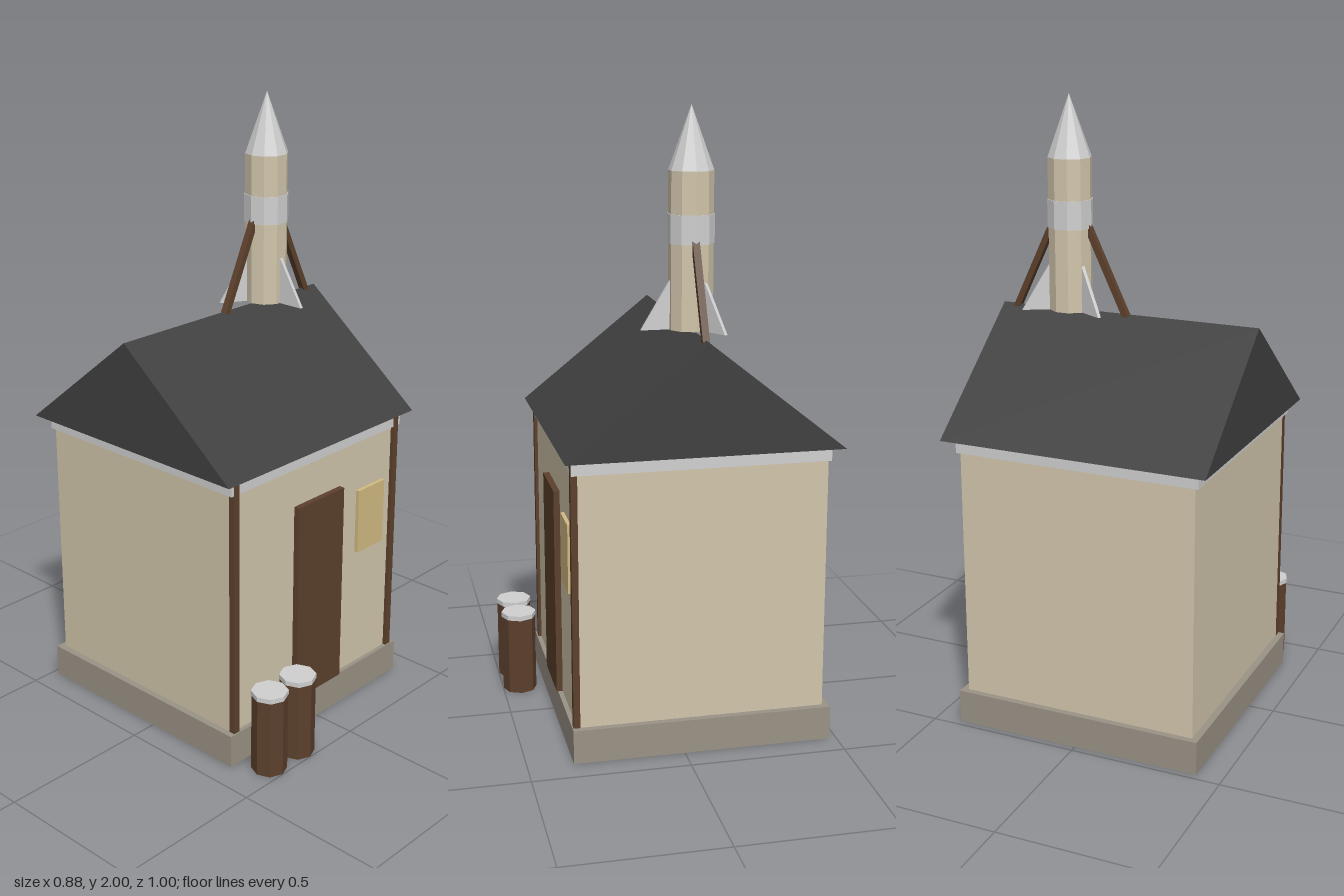
import * as THREE from 'three';

const mat = (name, color) => {
  const m = new THREE.MeshStandardMaterial({ color, flatShading: true });
  m.name = name;
  return m;
};

export function createModel() {
  const model = new THREE.Group();
  model.name = 'rocketHut';
  const plaster = mat('plaster', 0xd2c6ac);
  const wood = mat('wood', 0x5c402c);
  const stone = mat('stone', 0x9a9285);
  const slate = mat('slate', 0x404040);
  const metal = mat('paleMetal', 0xd0d0d0);
  const glass = mat('amberGlass', 0xd2ba82);

  const add = (parent, name, geo, material, x = 0, y = 0, z = 0) => {
    const mesh = new THREE.Mesh(geo, material);
    mesh.name = name;
    mesh.position.set(x, y, z);
    parent.add(mesh);
    return mesh;
  };
  // Box given by its minimum and maximum corners
  const box = (name, material, x0, x1, y0, y1, z0, z1) =>
    add(model, name, new THREE.BoxGeometry(x1 - x0, y1 - y0, z1 - z0), material,
      (x0 + x1) / 2, (y0 + y1) / 2, (z0 + z1) / 2);

  // Hut body
  box('plinth', stone, -0.415, 0.415, 0, 0.11, -0.478, 0.355);
  box('walls', plaster, -0.393, 0.393, 0.11, 0.93, -0.457, 0.34);
  box('eavesTrim', metal, -0.405, 0.405, 0.927, 0.972, -0.464, 0.35);
  for (const s of [-1, 1])
    box('cornerPost', wood, s * 0.383 - 0.012, s * 0.383 + 0.012, 0.11, 0.972, 0.33, 0.351);
  box('door', wood, -0.11, 0.11, 0.11, 0.795, 0.335, 0.36);
  box('window', glass, 0.197, 0.33, 0.53, 0.752, 0.335, 0.352);

  // Gable roof, a prism along x
  const gable = new THREE.Shape([
    new THREE.Vector2(-0.436, 0.972), new THREE.Vector2(0.436, 0.972), new THREE.Vector2(0, 1.32),
  ]);
  const roofGeo = new THREE.ExtrudeGeometry(gable, { depth: 0.88, bevelEnabled: false });
  roofGeo.translate(0, 0, -0.44).rotateY(Math.PI / 2);
  add(model, 'roof', roofGeo, slate, 0, 0, -0.063);

  // Barrels by the door
  for (const x of [-0.332, -0.2]) {
    add(model, 'barrel', new THREE.CylinderGeometry(0.057, 0.057, 0.266, 8), wood, x, 0.133, 0.442);
    add(model, 'barrelLid', new THREE.CylinderGeometry(0.059, 0.059, 0.016, 8), metal, x, 0.272, 0.442);
  }

  // Rocket standing on the ridge
  const rocket = new THREE.Group();
  rocket.name = 'rocket';
  rocket.position.set(0.197, 1.32, -0.063);
  model.add(rocket);
  const tube = (name, material, rTop, rBottom, y0, y1) => {
    const geo = new THREE.CylinderGeometry(rTop, rBottom, y1 - y0, 10);
    geo.rotateY(Math.PI / 2);
    add(rocket, name, geo, material, 0, (y0 + y1) / 2, 0);
  };
  tube('fuselage', plaster, 0.07, 0.07, 0, 0.485);
  tube('noseCone', metal, 0, 0.07, 0.485, 0.68);
  tube('band', metal, 0.073, 0.073, 0.265, 0.355);

  // Three fins around the tail
  const finShape = new THREE.Shape([
    new THREE.Vector2(0.05, 0), new THREE.Vector2(0.157, 0),
    new THREE.Vector2(0.066, 0.152), new THREE.Vector2(0.05, 0.152),
  ]);
  const finGeo = new THREE.ExtrudeGeometry(finShape, { depth: 0.011, bevelEnabled: false });
  finGeo.translate(0, 0, -0.0055);
  for (const k of [0, 1, 2])
    add(rocket, 'fin', finGeo, metal).rotation.y = -Math.PI / 2 + (k * 2 * Math.PI) / 3;

  // Struts leaning from the ridge to the fuselage
  for (const s of [-1, 1]) {
    const from = new THREE.Vector2(0.194, -0.01);
    const to = new THREE.Vector2(0.058, 0.278);
    const d = to.clone().sub(from);
    const strut = add(rocket, 'strut', new THREE.BoxGeometry(0.02, d.length(), 0.022), wood,
      s * (from.x + to.x) / 2, (from.y + to.y) / 2, 0);
    strut.rotation.z = s * Math.atan2(-d.x, d.y);
  }
  return model;
}
